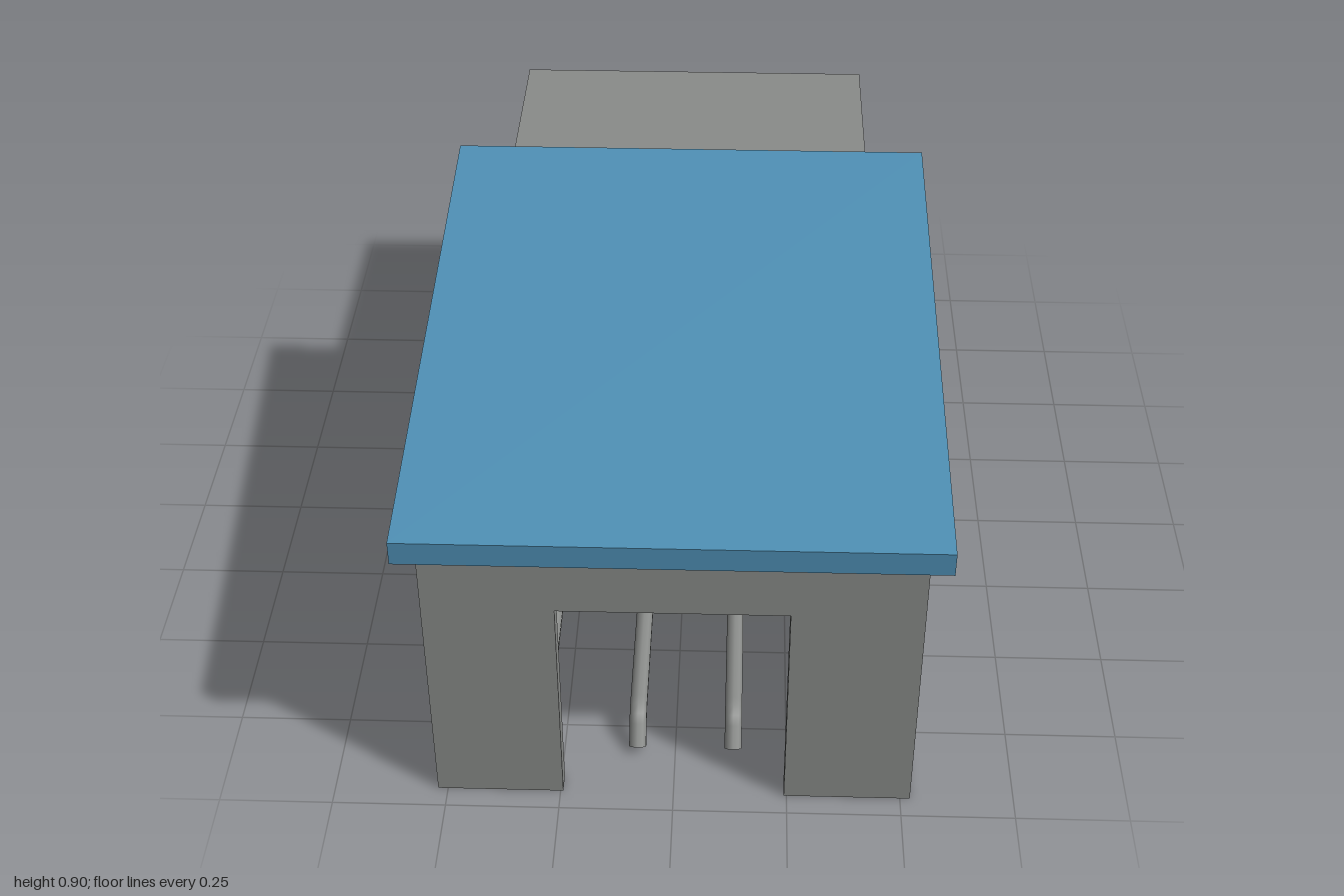
import * as THREE from 'three';

export function createModel() {
  const model = new THREE.Group();
  const grey = new THREE.MeshStandardMaterial({ color: 0x8a8c8a });
  grey.name = 'concreteGrey';
  const blue = new THREE.MeshStandardMaterial({ color: 0x4f90b5 });
  blue.name = 'roofBlue';

  const add = (parent, name, geometry, material = grey) => {
    const mesh = new THREE.Mesh(geometry, material);
    mesh.name = name;
    parent.add(mesh);
    return mesh;
  };
  const group = (name) => {
    const g = new THREE.Group();
    g.name = name;
    model.add(g);
    return g;
  };
  const shape = (pts) => new THREE.Shape(pts.map(([a, b]) => new THREE.Vector2(a, b)));
  const extrude = (pts, depth) =>
    new THREE.ExtrudeGeometry(shape(pts), { depth, bevelEnabled: false });
  // Side profile given as [z, y], extruded across x and centred on x
  const sideExtrude = (pts, width, x) =>
    extrude(pts, width).rotateY(-Math.PI / 2).translate(x + width / 2, 0, 0);
  const box = (x0, x1, y0, y1, z0, z1) =>
    new THREE.BoxGeometry(x1 - x0, y1 - y0, z1 - z0)
      .translate((x0 + x1) / 2, (y0 + y1) / 2, (z0 + z1) / 2);

  const W = 0.522, T = 0.045, FRONT = 0.95, BACK = -0.27;
  const roofY = (z) => 0.705 + 0.106 * (1 - z); // underside of the sloping roof

  // Sloping roof slab
  add(model, 'roof', sideExtrude([
    [1, roofY(1)], [1, roofY(1) + 0.055],
    [-0.32, roofY(-0.32) + 0.055], [-0.32, roofY(-0.32)],
  ], 1.13, 0), blue);

  // Hollow shelter, open underneath
  const shelter = group('shelter');
  for (const side of [-1, 1]) {
    add(shelter, side > 0 ? 'leftWall' : 'rightWall', sideExtrude([
      [FRONT, 0], [FRONT, roofY(FRONT)], [BACK, roofY(BACK)], [BACK, 0],
    ], T, side * (W - T / 2)));
  }
  const inner = W - T, door = 0.244, doorTop = 0.54;
  add(shelter, 'frontWall', extrude([
    [-inner, 0], [-door, 0], [-door, doorTop], [door, doorTop], [door, 0],
    [inner, 0], [inner, roofY(FRONT)], [-inner, roofY(FRONT)],
  ], T).translate(0, 0, FRONT - T));
  add(shelter, 'backWall', box(-inner, inner, 0, roofY(BACK), BACK, BACK + T));

  // Rear block resting on a row of fins, both reaching through the back wall
  const inside = BACK + T + 0.025;
  add(model, 'rearBlock', box(-0.455, 0.44, 0.265, 0.785, -0.93, inside));
  const fins = group('supportFins');
  for (let i = 0; i < 7; i++) {
    const x = -0.417 + i * 0.136;
    add(fins, 'fin', box(x - 0.026, x + 0.026, 0.01, 0.265, -1, inside));
  }

  // Pipes: riser from the rear block, bend, valve, long run and drooping spout
  const r = 0.02, v = (y, z) => new THREE.Vector3(0, y, z);
  const path = new THREE.CurvePath();
  const line = (a, b) => path.add(new THREE.LineCurve3(a, b));
  const bend = (a, b, c) => path.add(new THREE.QuadraticBezierCurve3(a, b, c));
  line(v(0.32, inside - 0.02), v(0.32, -0.03));
  bend(v(0.32, -0.03), v(0.32, 0.03), v(0.26, 0.03));
  line(v(0.26, 0.03), v(0.13, 0.03));
  bend(v(0.13, 0.03), v(0.08, 0.03), v(0.08, 0.08));
  line(v(0.08, 0.08), v(0.08, 0.75));
  bend(v(0.08, 0.75), v(0.08, 0.78), v(0.06, 0.793));
  line(v(0.06, 0.793), v(0.015, 0.825));
  const tube = new THREE.TubeGeometry(path, 72, r, 10);
  const cap = new THREE.CircleGeometry(r, 10);
  cap.lookAt(path.getTangent(1)).translate(0, 0.015, 0.825);
  const valve = new THREE.CylinderGeometry(0.037, 0.037, 0.08, 12).translate(0, 0.07, 0.21);
  const stem = new THREE.CylinderGeometry(0.028, 0.028, 0.03, 12).translate(0, 0.12, 0.21);

  for (let i = 0; i < 4; i++) {
    const pipe = group('pipe');
    pipe.position.x = -0.3 + i * 0.215;
    add(pipe, 'pipeTube', tube);
    add(pipe, 'spoutEnd', cap);
    add(pipe, 'valveBody', valve);
    add(pipe, 'valveStem', stem);
  }
  return model;
}
